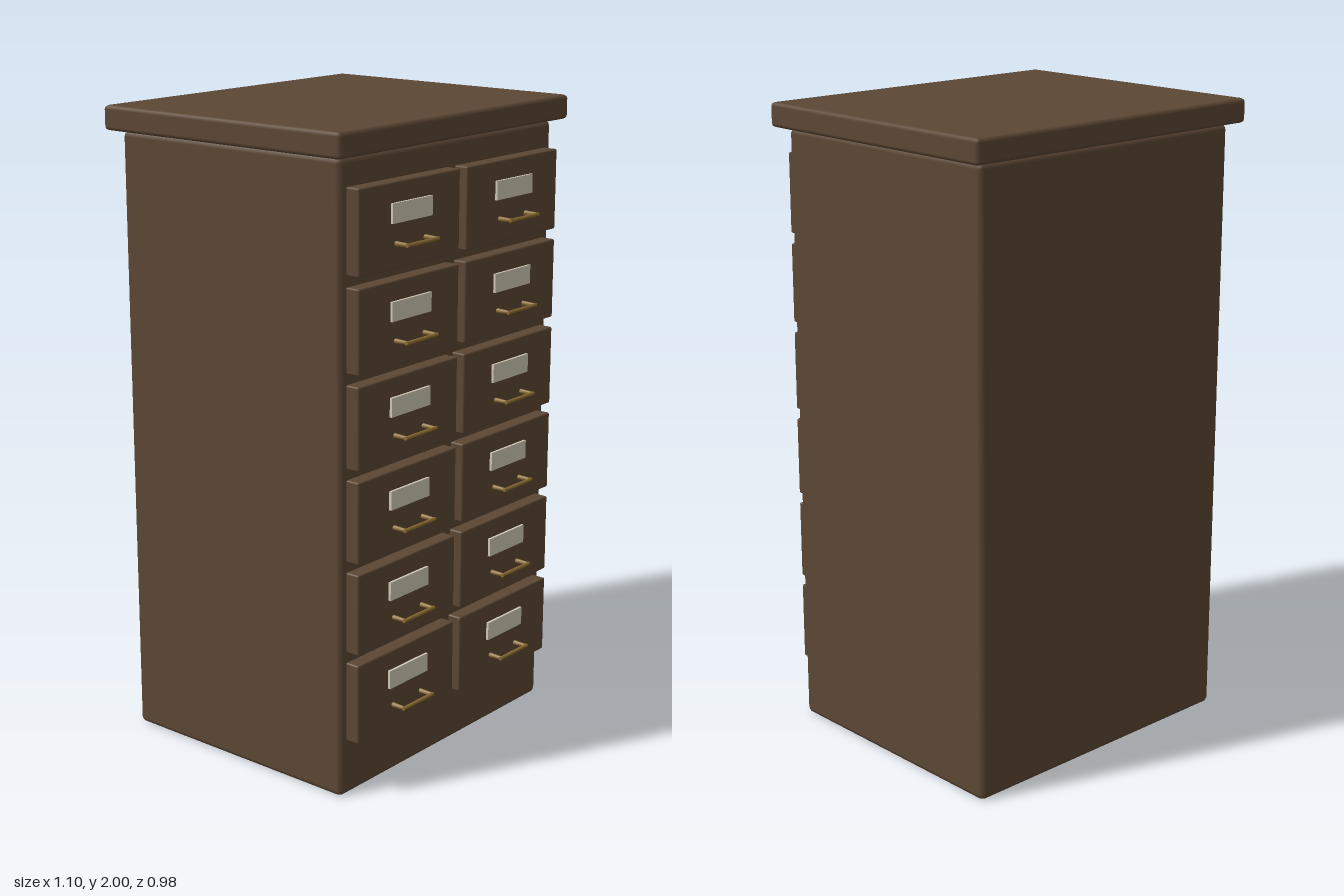
import * as THREE from 'three';
import { RoundedBoxGeometry } from 'three/addons/geometries/RoundedBoxGeometry.js';

const material = (name, color) => {
  const m = new THREE.MeshStandardMaterial({ color });
  m.name = name;
  return m;
};

export function createModel() {
  const wood = material('dark walnut', 0x5c4734);
  const card = material('cream card', 0xd2cab4);
  const brass = material('aged brass', 0x8a6b30);
  const cabinet = new THREE.Group();
  cabinet.name = 'drawerCabinet';

  const add = (parent, name, geometry, mat, x, y, z) => {
    const mesh = new THREE.Mesh(geometry, mat);
    mesh.name = name;
    mesh.position.set(x, y, z);
    parent.add(mesh);
    return mesh;
  };

  // Carcass and overhanging top with narrow bevelled edges
  add(cabinet, 'carcass', new RoundedBoxGeometry(1.02, 1.922, 0.85, 1, 0.016), wood, 0, 0.961, -0.03);
  add(cabinet, 'topSlab', new RoundedBoxGeometry(1.104, 0.075, 0.92, 1, 0.012), wood, 0, 1.9625, -0.03);

  // Shared drawer parts
  const frontGeo = new RoundedBoxGeometry(0.464, 0.25, 0.06, 1, 0.005);
  const labelGeo = new THREE.BoxGeometry(0.182, 0.058, 0.009);
  const barGeo = new THREE.CylinderGeometry(0.006, 0.006, 0.146, 8).rotateZ(Math.PI / 2);
  const postGeo = new THREE.CylinderGeometry(0.006, 0.008, 0.046, 8).rotateX(Math.PI / 2);

  // Two columns of six drawers
  for (let row = 0; row < 6; row++) {
    for (const side of [-1, 1]) {
      const drawer = new THREE.Group();
      drawer.name = 'drawer';
      drawer.position.set(side * 0.249, 0.302 + row * 0.2826, 0);
      add(drawer, 'drawerFront', frontGeo, wood, 0, 0, 0.41);
      add(drawer, 'labelCard', labelGeo, card, 0, 0.037, 0.4435);

      // Bar pull on two posts
      const handle = new THREE.Group();
      handle.name = 'handle';
      handle.position.y = -0.052;
      add(handle, 'handleBar', barGeo, brass, 0, 0, 0.484);
      for (const end of [-1, 1]) add(handle, 'handlePost', postGeo, brass, end * 0.067, 0, 0.461);
      drawer.add(handle);
      cabinet.add(drawer);
    }
  }
  return cabinet;
}
